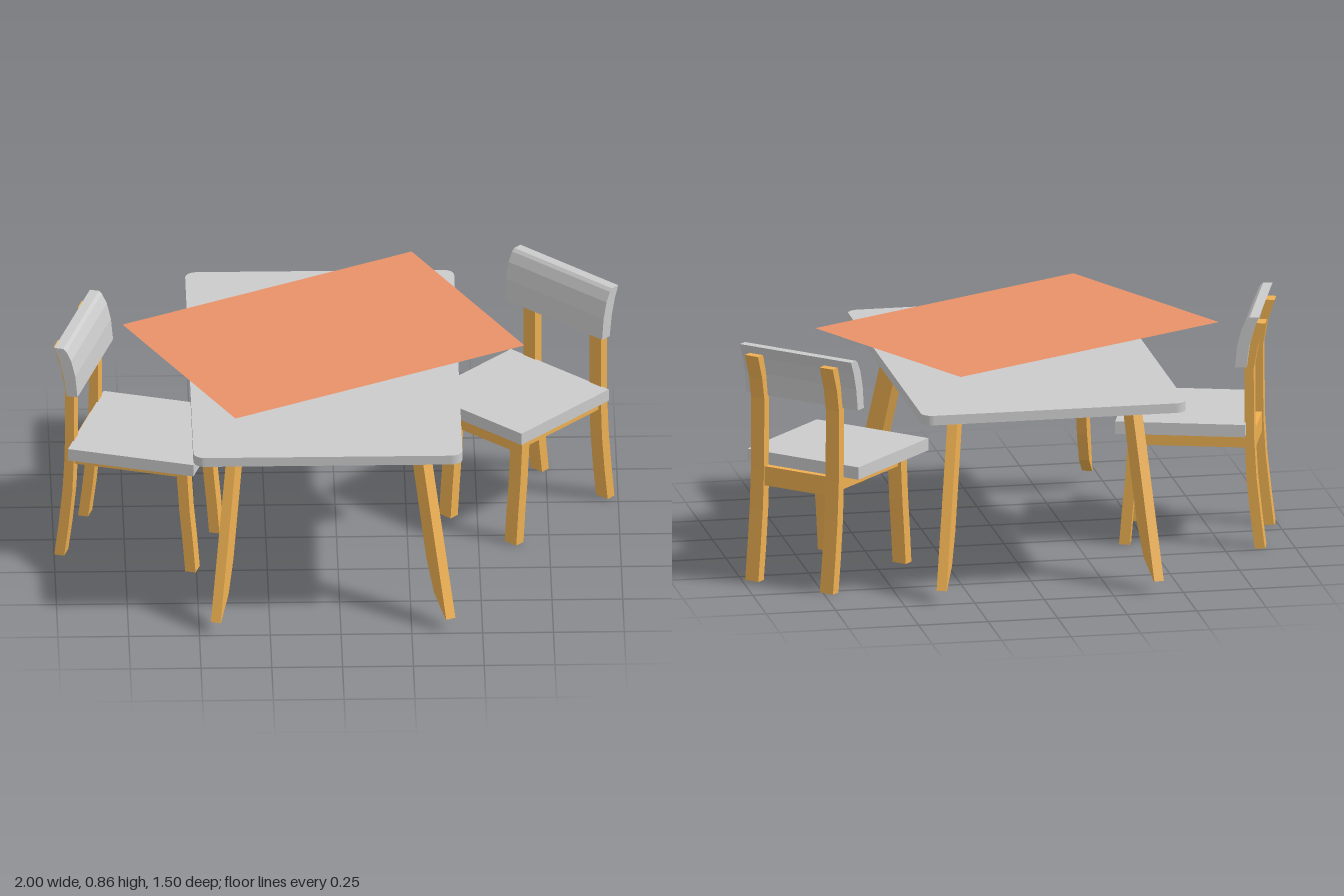
import * as THREE from 'three';

const grey = new THREE.MeshStandardMaterial({ color: 0xcccccc });
const wood = new THREE.MeshStandardMaterial({ color: 0xeeb052 });
const orange = new THREE.MeshStandardMaterial({ color: 0xe89268, side: THREE.DoubleSide });

function add(parent, name, geometry, material, x = 0, y = 0, z = 0) {
  const mesh = new THREE.Mesh(geometry, material);
  mesh.name = name;
  mesh.position.set(x, y, z);
  parent.add(mesh);
  return mesh;
}

// Side outline given as [z, y] points, extruded to a width centred on x = 0
function prism(points, width) {
  const shape = new THREE.Shape(points.map(([z, y]) => new THREE.Vector2(z, y)));
  return new THREE.ExtrudeGeometry(shape, { depth: width, bevelEnabled: false })
    .translate(0, 0, -width / 2)
    .rotateY(-Math.PI / 2);
}

function createTable() {
  const table = new THREE.Group();
  table.name = 'table';

  // Rounded top
  const w = 0.475, d = 0.715, r = 0.04;
  const top = new THREE.Shape();
  top.moveTo(-w + r, -d);
  top.lineTo(w - r, -d);
  top.absarc(w - r, -d + r, r, -Math.PI / 2, 0);
  top.absarc(w - r, d - r, r, 0, Math.PI / 2);
  top.absarc(-w + r, d - r, r, Math.PI / 2, Math.PI);
  top.absarc(-w + r, -d + r, r, Math.PI, Math.PI * 1.5);
  const slab = new THREE.ExtrudeGeometry(top, { depth: 0.035, bevelEnabled: false, curveSegments: 5 });
  add(table, 'tableTop', slab.rotateX(-Math.PI / 2), grey, -0.045, 0.65, -0.005);

  // Splayed, tapering legs: top x, top z, tip x
  const outline = [[0.046, 0.65], [0.253, 0.045], [0.246, 0.045], [0.155, 0.11], [0.095, 0.22], [-0.046, 0.65]];
  const legs = [[0.28, 0.497, 0.39], [0.27, -0.497, 0.365], [-0.365, 0.497, -0.44], [-0.36, -0.502, -0.41]];
  for (const [x, z, tipX] of legs) {
    const leg = add(table, 'tableLeg', prism(outline, 0.036), wood, x, 0, z);
    leg.rotation.y = Math.atan2(tipX - x, Math.sign(z) * 0.2325);
  }
  return table;
}

function createChair(name, x, z, yaw) {
  const chair = new THREE.Group();
  chair.name = name;
  chair.position.set(x, 0, z);
  chair.rotation.y = yaw;

  add(chair, 'seat', new THREE.BoxGeometry(0.465, 0.045, 0.46), grey, 0, 0.4375, 0);

  // Curved backrest
  const rest = [[-0.28, 0.855], [-0.262, 0.81], [-0.246, 0.75], [-0.235, 0.67],
    [-0.195, 0.67], [-0.203, 0.75], [-0.218, 0.81], [-0.236, 0.845], [-0.247, 0.855]];
  add(chair, 'backrest', prism(rest, 0.465), grey);

  const post = [[-0.298, 0], [-0.283, 0.12], [-0.268, 0.26], [-0.26, 0.4], [-0.258, 0.66], [-0.272, 0.74], [-0.3, 0.825],
    [-0.264, 0.825], [-0.238, 0.74], [-0.226, 0.66], [-0.226, 0.4], [-0.232, 0.26], [-0.246, 0.12], [-0.262, 0]];
  const frontLeg = [[0.182, 0], [0.172, 0.12], [0.16, 0.24], [0.148, 0.415],
    [0.187, 0.415], [0.198, 0.24], [0.21, 0.12], [0.22, 0]];

  // Frame: posts, front legs and side rails on both sides, aprons across
  const frame = new THREE.Group();
  frame.name = 'chairFrame';
  frame.position.x = 0.015;
  chair.add(frame);
  for (const side of [-1, 1]) {
    add(frame, 'backPost', prism(post, 0.055), wood, side * 0.156);
    add(frame, 'frontLeg', prism(frontLeg, 0.055), wood, side * 0.156);
    add(frame, 'sideRail', new THREE.BoxGeometry(0.03, 0.045, 0.39), wood, side * 0.156, 0.387, -0.04);
  }
  add(frame, 'frontApron', new THREE.BoxGeometry(0.27, 0.07, 0.025), wood, 0, 0.38, 0.17);
  add(frame, 'backApron', new THREE.BoxGeometry(0.27, 0.07, 0.025), wood, 0, 0.38, -0.243);
  return chair;
}

export function createModel() {
  const model = new THREE.Group();
  model.name = 'diningSet';
  model.add(createTable());
  model.add(createChair('leftChair', 0.639, -0.215, -0.755));
  model.add(createChair('rightChair', -0.665, 0.039, 1.276));

  // Thin flat panel hovering above the table
  const panel = new THREE.PlaneGeometry(1.165, 0.825).rotateX(-Math.PI / 2);
  add(model, 'floatingPanel', panel, orange, -0.046, 0.8, -0.005).rotation.y = 0.482;
  return model;
}
